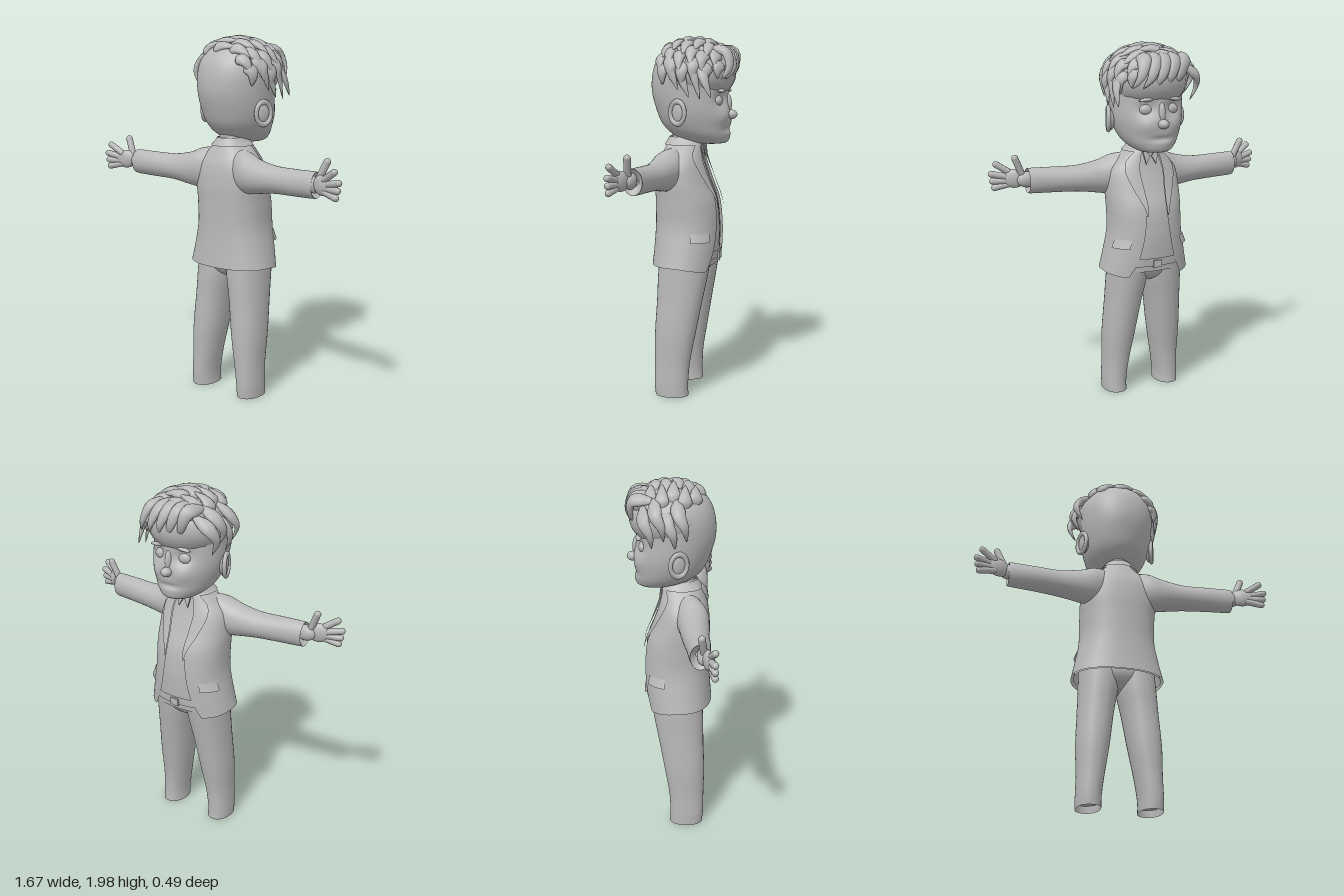
import * as THREE from 'three';
import { mergeVertices } from 'three/addons/utils/BufferGeometryUtils.js';

const grey = new THREE.MeshStandardMaterial({ color: 0xb8b8b8, side: THREE.DoubleSide });
grey.name = 'clay grey';
const V = (x, y, z) => new THREE.Vector3(x, y, z);
const bump = (d, w) => Math.exp(-(d * d) / (w * w));

// Smooth grid surface from fn(u, v) with u, v in 0..1
function surface(fn, nu, nv) {
  const pos = [], idx = [];
  for (let j = 0; j <= nv; j++) for (let i = 0; i <= nu; i++) pos.push(...fn(i / nu, j / nv).toArray());
  for (let j = 0; j < nv; j++) for (let i = 0; i < nu; i++) {
    const a = j * (nu + 1) + i, b = a + nu + 1;
    idx.push(a, b, a + 1, a + 1, b, b + 1);
  }
  let g = new THREE.BufferGeometry();
  g.setAttribute('position', new THREE.Float32BufferAttribute(pos, 3));
  g.setIndex(idx);
  g = mergeVertices(g, 1e-4);
  g.computeVertexNormals();
  return g;
}

// Catmull-Rom blend of table rows
function sample(rows, v) {
  const n = rows.length - 1, t = Math.min(Math.max(v, 0), 1) * n;
  const i = Math.min(Math.floor(t), n - 1), f = t - i;
  const r = k => rows[Math.min(Math.max(k, 0), n)];
  return rows[0].map((_, c) => {
    const a = r(i - 1)[c], b = r(i)[c], d = r(i + 1)[c], e = r(i + 2)[c];
    return b + 0.5 * f * (d - a + f * (2 * a - 5 * b + 4 * d - e + f * (3 * (b - d) + e - a)));
  });
}

// Point on an upright body; rows are [y, cx, rx, zBack, zFront]; angle 0 is the face side
function bodyPoint(rows, v, a, grow = 0, pw = 1) {
  const [y, cx, rx, back, front] = sample(rows, v);
  const s = Math.sin(a), c = Math.cos(a);
  const p = q => Math.sign(q) * Math.pow(Math.abs(q), pw);
  return V(cx + p(s) * (rx + grow), y, (back + front) / 2 - p(c) * ((back - front) / 2 + grow));
}
const body = (rows, grow, pw, nu = 48, nv = 40) =>
  surface((u, v) => bodyPoint(rows, v, u * Math.PI * 2, grow, pw), nu, nv);

const HEAD = [
  [1.412, 0, 0.005, -0.08, -0.10], [1.422, 0, 0.08, 0.0, -0.18], [1.46, 0, 0.135, 0.11, -0.2],
  [1.52, 0, 0.172, 0.175, -0.2], [1.6, 0, 0.196, 0.21, -0.203], [1.7, 0, 0.206, 0.235, -0.192],
  [1.8, 0, 0.208, 0.23, -0.185], [1.88, 0, 0.185, 0.2, -0.17], [1.94, 0, 0.12, 0.14, -0.12], [1.96, 0, 0.001, 0.02, 0.018]];
const JACKET = [
  [0.748, 0, 0.255, 0.225, -0.14], [0.85, 0, 0.232, 0.216, -0.15], [0.97, 0, 0.21, 0.21, -0.153],
  [1.1, 0, 0.21, 0.21, -0.138], [1.2, 0, 0.213, 0.21, -0.1], [1.3, 0, 0.2, 0.198, -0.065],
  [1.37, 0, 0.14, 0.17, -0.048], [1.42, 0, 0.085, 0.145, -0.042], [1.455, 0, 0.066, 0.13, -0.038]];
const OPENING = [[0.62], [0.42], [0.32], [0.24], [0.26], [0.32], [0.38], [0.45], [0.5]];
const LEG = [
  [0.012, 0.165, 0.065, 0.18, -0.006], [0.08, 0.165, 0.066, 0.185, -0.004], [0.2, 0.155, 0.073, 0.186, -0.012],
  [0.36, 0.142, 0.088, 0.188, -0.04], [0.55, 0.123, 0.097, 0.18, -0.075], [0.68, 0.108, 0.106, 0.178, -0.1], [0.8, 0.1, 0.108, 0.17, -0.12]];
const ARM = [ // [x, y, z, ry, rz]
  [0.08, 1.28, 0.08, 0.115, 0.09], [0.16, 1.272, 0.11, 0.112, 0.09], [0.24, 1.262, 0.122, 0.092, 0.083],
  [0.36, 1.26, 0.128, 0.073, 0.073], [0.5, 1.262, 0.142, 0.07, 0.064], [0.63, 1.265, 0.15, 0.069, 0.053],
  [0.63, 1.265, 0.15, 0.06, 0.045], [0.6, 1.265, 0.15, 0.02, 0.02]];

// Flattened, tapering lock of hair laid over the scalp
function lock(points, r) {
  const curve = new THREE.CatmullRomCurve3(points), centre = V(0, 1.75, 0);
  return surface((u, v) => {
    const p = curve.getPoint(v), t = curve.getTangent(v);
    const side = t.clone().cross(p.clone().sub(centre)).normalize(), out = side.clone().cross(t);
    const a = u * Math.PI * 2, w = r * Math.pow(1 - v, 0.7) * Math.min(1, 0.35 + v * 3);
    return p.addScaledVector(side, Math.cos(a) * w).addScaledVector(out, Math.sin(a) * w * 0.6);
  }, 10, 12);
}

export function createModel() {
  const model = new THREE.Group();
  const add = (name, geo, parent = model) => {
    const m = new THREE.Mesh(geo, grey);
    m.name = name;
    parent.add(m);
    return m;
  };
  const ball = (name, x, y, z, rx, ry, rz, parent = model) => {
    const m = add(name, new THREE.SphereGeometry(1, 24, 16), parent);
    m.position.set(x, y, z);
    m.scale.set(rx, ry, rz);
    return m;
  };
  const finger = (a, b, r, parent) => {
    const d = b.clone().sub(a), m = add('finger', new THREE.CapsuleGeometry(r, d.length() - r, 4, 10), parent);
    m.position.copy(a).add(b).multiplyScalar(0.5);
    m.quaternion.setFromUnitVectors(V(0, 1, 0), d.normalize());
  };

  // Head with sunken eye sockets, cheeks and mouth crease
  add('head', surface((u, v) => {
    const p = bodyPoint(HEAD, v, u * Math.PI * 2);
    if (p.z < 0) {
      const x = Math.abs(p.x);
      p.z += 0.028 * bump(x - 0.075, 0.05) * bump(p.y - 1.655, 0.045);
      p.z -= 0.012 * bump(x - 0.09, 0.05) * bump(p.y - 1.56, 0.045);
      p.z += 0.014 * bump(x, 0.06) * bump(p.y - 1.495, 0.014);
    }
    return p;
  }, 72, 64));
  ball('nose', 0, 1.575, -0.208, 0.03, 0.026, 0.034);
  ball('noseBridge', 0, 1.63, -0.186, 0.02, 0.06, 0.025);
  for (const s of [-1, 1]) {
    ball('eyelid', s * 0.075, 1.65, -0.15, 0.038, 0.03, 0.025);
    ball('eyebrow', s * 0.08, 1.705, -0.172, 0.048, 0.011, 0.016).rotation.z = s * -0.1;
    const ear = new THREE.Group();
    ear.name = 'ear';
    ear.position.set(s * 0.195, 1.59, 0.035);
    ear.rotation.y = s * -0.35;
    ball('earLobe', 0, 0, 0, 0.022, 0.062, 0.045, ear);
    const rim = add('earRim', new THREE.TorusGeometry(0.046, 0.012, 8, 24), ear);
    rim.rotation.y = Math.PI / 2;
    rim.position.x = s * 0.014;
    rim.scale.y = 1.3;
    model.add(ear);
  }
  add('neck', new THREE.CylinderGeometry(0.075, 0.068, 0.14, 28)).position.set(0, 1.43, 0.05);

  // Hair: scalp mass and overlapping swept locks
  ball('hairMass', 0, 1.8, -0.008, 0.222, 0.165, 0.222);
  const scalp = (f, z, s) => {
    const k = Math.sqrt(1 - (z / 0.235) ** 2) * s;
    return V(Math.sin(f) * 0.225 * k, 1.8 + Math.cos(f) * 0.17 * k, z);
  };
  [-0.17, -0.11, -0.05, 0.01, 0.07, 0.125].forEach((z, i) => {
    [-1.0, -0.45, 0.1, 0.6, 1.05].forEach((f, j) => {
      const q = f + (i % 2) * 0.18, dz = (j % 2) * 0.02;
      add('topLock', lock([scalp(q, z + dz, 0.93), scalp(q + 0.35, z + dz, 1.06), scalp(q + 0.75, z + dz * 0.5, 1.12)], 0.05));
    });
  });
  for (let i = 0; i < 5; i++) {
    const x = -0.15 + i * 0.06;
    add('fringeLock', lock([V(x, 1.94 - x * x, -0.1), V(x + 0.02, 1.91, -0.2), V(x + 0.05, 1.83, -0.235 + x * x), V(x + 0.085, 1.765, -0.2 + x * x)], 0.05));
  }
  for (let i = 0; i < 4; i++) {
    const z = 0.07 - i * 0.06, y = 1.84 - (i % 2) * 0.04;
    add('leftLock', lock([V(0.18, y + 0.05, z + 0.03), V(0.228, y - 0.03, z), V(0.235, y - 0.13 - (i === 2) * 0.05, z - 0.04)], 0.042));
    add('rightLock', lock([V(-0.14, y + 0.08, z - 0.04), V(-0.23, y + 0.02, z - 0.03), V(-0.25, y - 0.04, z), V(-0.215, y - 0.12, z + 0.01)], 0.048));
  }

  // Shirt, belt and collar points
  add('shirt', body(JACKET, -0.013, 0.88));
  add('belt', surface((u, v) => bodyPoint(JACKET, 0.05 + v * 0.05, (u - 0.5) * 2, -0.004, 0.88), 24, 2));
  add('buckle', new THREE.BoxGeometry(0.05, 0.04, 0.012)).position.set(0, 0.795, -0.145);
  add('shirtPlacket', surface((u, v) => bodyPoint(JACKET, 0.13 + v * 0.75, (u - 0.5) * 0.1, -0.008, 0.88), 4, 24));

  // Jacket open down the front, its hem dipping forward
  add('jacket', surface((u, v) => {
    const open = sample(OPENING, v)[0], a = open + u * 2 * (Math.PI - open);
    const p = bodyPoint(JACKET, v, a, 0, 0.88);
    p.y -= 0.032 * Math.max(0, Math.cos(a)) * (1 - Math.min(1, v * 3));
    return p;
  }, 72, 56));
  add('jacketCollar', surface((u, v) => {
    const p = bodyPoint(JACKET, 0.84 + v * 0.14, 0.5 + u * (2 * Math.PI - 1), 0.014 - v * 0.006, 0.88);
    return p;
  }, 40, 4));

  for (const s of [-1, 1]) {
    const side = new THREE.Group();
    side.name = s > 0 ? 'leftSide' : 'rightSide';
    side.scale.x = s;
    model.add(side);

    add('lapel', surface((u, t) => {
      const v = 0.34 + t * 0.54, w = t < 0.72 ? 0.03 + t * 0.75 : 0.57 - (t - 0.72) * 0.8;
      return bodyPoint(JACKET, v, sample(OPENING, v)[0] - 0.03 + u * w, 0.013, 0.88);
    }, 8, 30), side);
    add('pocketFlap', surface((u, v) => bodyPoint(JACKET, 0.165 + v * 0.05, 0.68 + u * 0.6, 0.014 - v * 0.01, 0.88), 12, 3), side);
    const tip = new THREE.Shape([[0.004, 0], [0.055, 0.06], [0.03, -0.045]].map(p => new THREE.Vector2(...p)));
    const point = add('shirtCollar', new THREE.ExtrudeGeometry(tip, { depth: 0.008, bevelEnabled: false }), side);
    point.position.set(0, 1.385, -0.062);
    point.rotation.x = 0.15;

    // Trouser leg, hollow at the ankle
    add('trouserLeg', body(LEG, 0, 0.92, 32, 36), side);
    const inner = add('trouserLining', new THREE.CircleGeometry(0.064, 24), side);
    inner.rotation.x = Math.PI / 2;
    inner.position.set(0.165, 0.05, 0.09);
    inner.scale.y = 1.45;

    // Sleeve with turned-in cuff
    add('sleeve', surface((u, v) => {
      const [x, y, z, ry, rz] = sample(ARM, v), a = u * Math.PI * 2;
      return V(x, y + Math.cos(a) * ry, z + Math.sin(a) * rz);
    }, 32, 49), side);

    // Hand with spread fingers
    const hand = new THREE.Group();
    hand.name = 'hand';
    side.add(hand);
    ball('wrist', 0.635, 1.27, 0.165, 0.06, 0.043, 0.032, hand);
    ball('palm', 0.70, 1.277, 0.19, 0.062, 0.052, 0.026, hand).rotation.y = -0.3;
    finger(V(0.66, 1.29, 0.17), V(0.71, 1.40, 0.155), 0.019, hand);
    [[0.715, 1.305, 0.8, 1.36], [0.73, 1.285, 0.828, 1.306], [0.73, 1.265, 0.822, 1.265], [0.715, 1.25, 0.812, 1.227]]
      .forEach(([x, y, tx, ty]) => finger(V(x, y, 0.2), V(tx, ty, 0.222), 0.018, hand));
  }

  // Seat of the trousers under the jacket
  ball('trouserSeat', 0, 0.765, 0.032, 0.2, 0.1, 0.14);
  return model;
}
